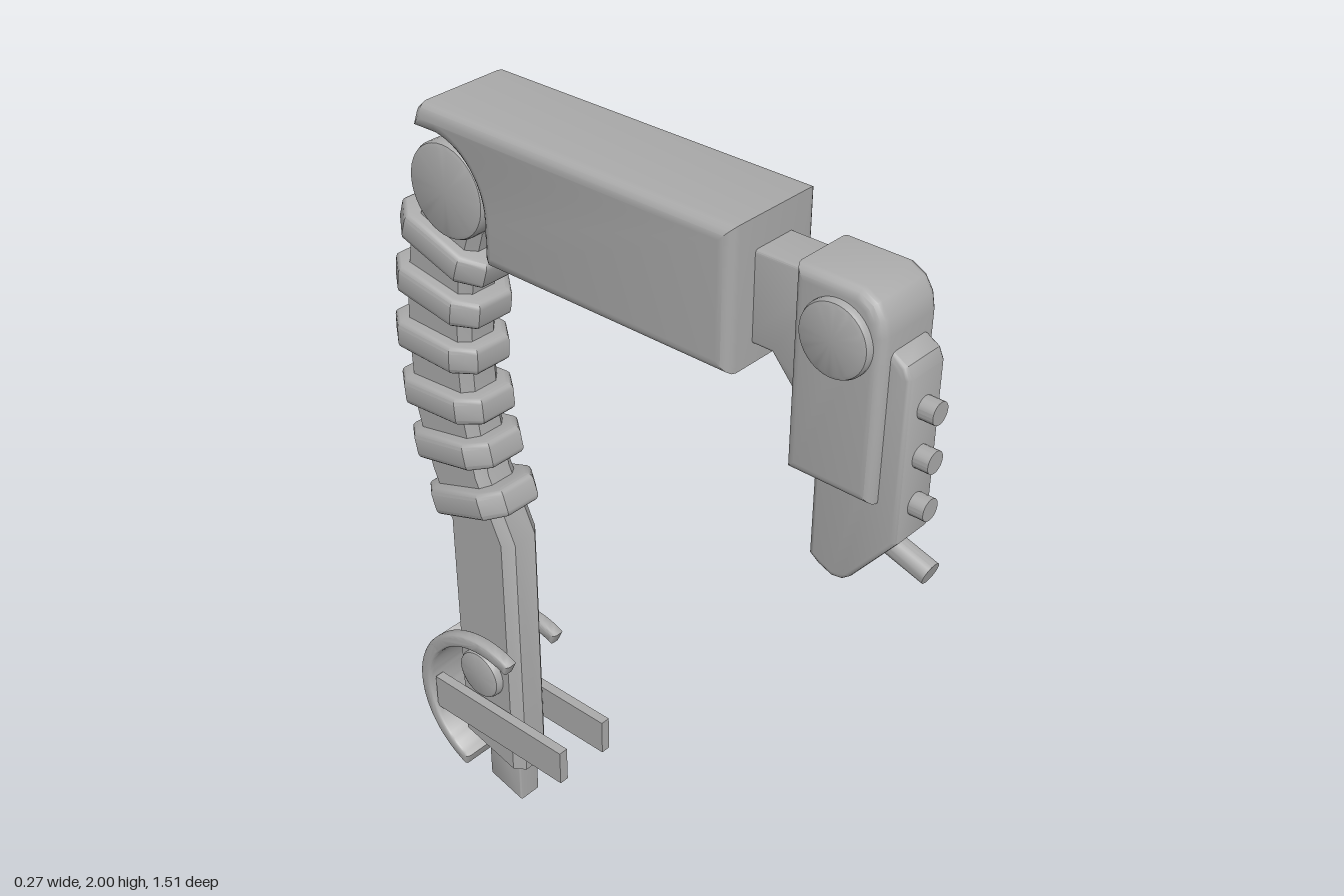
import * as THREE from 'three';
import { toCreasedNormals } from 'three/addons/utils/BufferGeometryUtils.js';

const grey = new THREE.MeshStandardMaterial({ color: 0xaaaaaa });
grey.name = 'plain grey';

// Side profile given as [z, y] points, extruded across x and centred on cx
function sidePlate(points, width, bevel, cx = 0) {
  const shape = new THREE.Shape(points.map(p => new THREE.Vector2(p[0], p[1])));
  const g = new THREE.ExtrudeGeometry(shape, {
    depth: width - 2 * bevel, bevelEnabled: bevel > 0, bevelThickness: bevel,
    bevelSize: bevel, bevelOffset: -bevel, bevelSegments: 4,
  });
  g.translate(0, 0, -(width - 2 * bevel) / 2);
  g.rotateY(-Math.PI / 2);
  g.translate(cx, 0, 0);
  return toCreasedNormals(g, 0.6);
}

// Points on an arc; angle 0 faces the back, 90 degrees is up
function arc(cz, cy, r, from, to, n) {
  return Array.from({ length: n + 1 }, (_, i) => {
    const a = THREE.MathUtils.degToRad(from + (to - from) * i / n);
    return [cz - r * Math.cos(a), cy + r * Math.sin(a)];
  });
}

// Chamfered rectangle as [x, s] points, s = -1 front to 1 back
function octagon(hx, cx, cs) {
  return [[hx, -1 + cs], [hx, 1 - cs], [hx - cx, 1], [cx - hx, 1],
    [-hx, 1 - cs], [-hx, -1 + cs], [cx - hx, -1], [hx - cx, -1]];
}

// Loft of chamfered sections, each given by its front and back [z, y, z, y]
function loft(sections, outline) {
  const pos = [], idx = [], n = outline.length, last = (sections.length - 1) * n;
  for (const [fz, fy, bz, by] of sections) {
    for (const [x, s] of outline) {
      const t = (s + 1) / 2;
      pos.push(x, fy + (by - fy) * t, fz + (bz - fz) * t);
    }
  }
  for (let j = 0; j < sections.length - 1; j++) {
    for (let i = 0; i < n; i++) {
      const a = j * n + i, b = j * n + (i + 1) % n;
      idx.push(a, b, a + n, b, b + n, a + n);
    }
  }
  for (let i = 1; i < n - 1; i++) {
    idx.push(0, i + 1, i, last, last + i, last + i + 1);
  }
  const g = new THREE.BufferGeometry();
  g.setAttribute('position', new THREE.Float32BufferAttribute(pos, 3));
  g.setIndex(idx);
  return toCreasedNormals(g, 0.5);
}

// Disc on the x axis with slightly rounded rims
function disc(r, width) {
  const h = width / 2, b = 0.012;
  const profile = [[0, -h], [r - b, -h], [r - b * 0.3, -h + b * 0.3], [r, -h + b],
    [r, h - b], [r - b * 0.3, h - b * 0.3], [r - b, h], [0, h]];
  const g = new THREE.LatheGeometry(profile.map(p => new THREE.Vector2(...p)), 40);
  g.rotateZ(Math.PI / 2);
  return toCreasedNormals(g, 0.6);
}

export function createModel() {
  const model = new THREE.Group();
  model.name = 'jointedArm';
  const add = (name, geometry, x = 0, y = 0, z = 0) => {
    const mesh = new THREE.Mesh(geometry, grey);
    mesh.name = name;
    mesh.position.set(x, y, z);
    model.add(mesh);
    return mesh;
  };

  // Main beam with a round cut-out and overhanging lip at the back
  add('mainBeam', sidePlate([
    [0.326, 1.68], [0.326, 2.0], [-0.525, 2.0], [-0.54, 1.985], [-0.555, 1.94],
    ...arc(-0.5, 1.793, 0.148, 98, 180, 14).map(([z, y]) => [z, y]),
    [-0.353, 1.7], [-0.345, 1.68],
  ].reverse(), 0.27, 0.03));

  // Front neck and head
  add('neck', sidePlate([[0.3, 1.725], [0.375, 1.725], [0.45, 1.64], [0.5, 1.64],
    [0.5, 1.93], [0.3, 1.93]], 0.115, 0.008));
  add('headShell', sidePlate([[0.44, 1.5], [0.65, 1.5],
    [0.652, 1.87], [0.645, 1.905], [0.625, 1.935], [0.59, 1.953], [0.44, 1.953]], 0.178, 0.025));
  add('headPivot', disc(0.082, 0.216), 0, 1.84, 0.55);
  add('headCore', sidePlate([[0.49, 1.3], [0.515, 1.282], [0.55, 1.268], [0.575, 1.272],
    [0.592, 1.285], [0.697, 1.416], [0.697, 1.79], [0.685, 1.815], [0.64, 1.84],
    [0.49, 1.84]], 0.118, 0.015));
  for (const y of [1.71, 1.6, 1.49]) {
    const g = new THREE.CylinderGeometry(0.025, 0.025, 0.06, 20);
    g.rotateX(Math.PI / 2);
    add('headButton', toCreasedNormals(g, 0.6), 0, y, 0.703);
  }
  const nozzle = new THREE.CylinderGeometry(0.026, 0.026, 0.14, 20);
  nozzle.rotateX(Math.PI / 2 + 0.3);
  add('nozzle', toCreasedNormals(nozzle, 0.6), 0, 1.365, 0.682);

  // Rear elbow
  add('elbowStub', sidePlate([[-0.5, 1.725], [-0.32, 1.725], [-0.32, 1.86], [-0.5, 1.86]],
    0.12, 0.008));
  add('elbow', disc(0.112, 0.19), 0, 1.793, -0.5);

  // Curved arm, front and back edge at each height
  add('arm', loft([
    [-0.4, 0.127, -0.617, 0.186], [-0.4, 0.865, -0.617, 0.865],
    [-0.48, 1.034, -0.67, 0.992], [-0.506, 1.183, -0.713, 1.151],
    [-0.511, 1.315, -0.718, 1.315], [-0.506, 1.448, -0.713, 1.459],
    [-0.49, 1.575, -0.686, 1.618], [-0.453, 1.687, -0.617, 1.74],
  ], octagon(0.059, 0.025, 0.22)));

  // Chamfered rings round the arm: [y, z, tilt in degrees]
  const ringShape = new THREE.Shape(octagon(0.093, 0.042, 0.38)
    .map(([x, s]) => new THREE.Vector2(x, s * 0.138)));
  const ringGeometry = new THREE.ExtrudeGeometry(ringShape, {
    depth: 0.041, bevelThickness: 0.016, bevelSize: 0.016, bevelOffset: -0.016, bevelSegments: 3,
  });
  ringGeometry.translate(0, 0, -0.0205);
  ringGeometry.rotateX(-Math.PI / 2);
  const ringSmooth = toCreasedNormals(ringGeometry, 0.6);
  for (const [y, z, tilt] of [[1.632, -0.567, 18], [1.5, -0.597, 9], [1.36, -0.613, 1.5],
    [1.216, -0.605, -4], [1.085, -0.583, -12], [0.95, -0.538, -19]]) {
    add('armRing', ringSmooth, 0, y, z).rotation.x = THREE.MathUtils.degToRad(tilt);
  }

  // Narrow tip at the foot
  add('tip', sidePlate([[-0.427, 0], [-0.427, 0.25], [-0.54, 0.25], [-0.54, 0.03]].reverse(),
    0.068, 0.006));

  // Wrist pivot and the side bars
  add('wristPivot', disc(0.069, 0.165), 0, 0.42, -0.514);
  for (const side of [-1, 1]) {
    add('sideBar', new THREE.BoxGeometry(0.026, 0.1, 0.455), side * 0.078, 0.284, -0.443);
  }

  // Curved guard: a solid back band that forks into two prongs round the arm
  const band = (from, to) => [
    ...arc(-0.48, 0.313, 0.24, from, to, 24), ...arc(-0.48, 0.313, 0.202, to, from, 24),
  ];
  add('guardBand', sidePlate(band(-69, 42), 0.205, 0.012));
  for (const side of [-1, 1]) {
    add('guardProng', sidePlate(band(36, 115), 0.036, 0.01, side * 0.0845));
  }
  return model;
}
